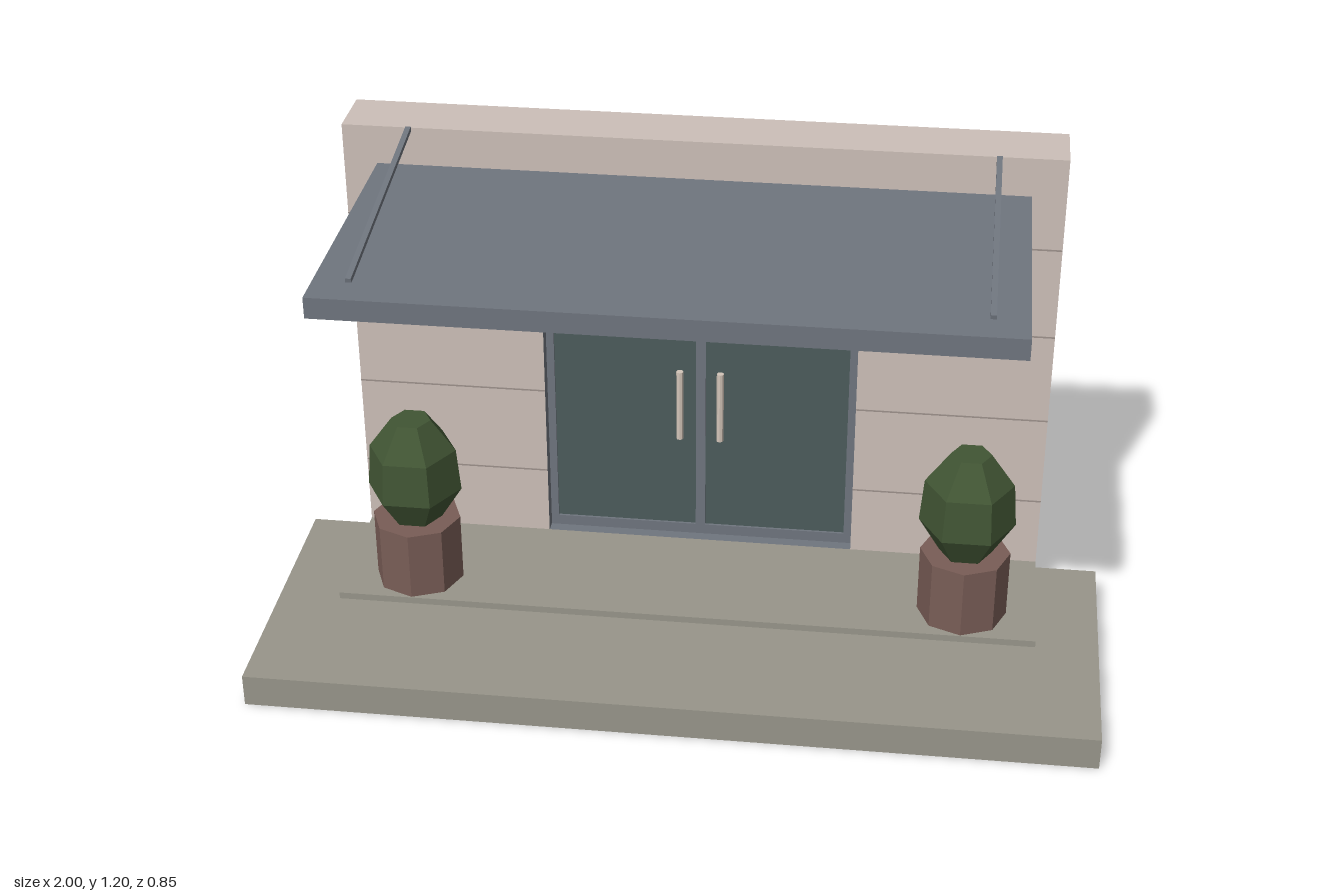
import * as THREE from 'three';

const mat = (name, color) => new THREE.MeshStandardMaterial({ name, color, side: THREE.DoubleSide, flatShading: true });

export function createModel() {
  const wallMat = mat('wall plaster', 0xccbfb8);
  const jointMat = mat('wall joint', 0x9d928c);
  const stone = mat('stone', 0x98958a);
  const metal = mat('grey metal', 0x6f757e);
  const glass = mat('dark glass', 0x4c5c5c);
  const cream = mat('pale fittings', 0xd2c4b8);
  const clay = mat('clay', 0x795d56);
  const leaf = mat('leaf', 0x415534);

  const model = new THREE.Group();
  const add = (name, geometry, material, parent = model) => {
    const mesh = new THREE.Mesh(geometry, material);
    mesh.name = name;
    parent.add(mesh);
    return mesh;
  };

  // Box given by its limits; faces listed in omit (0..5 = +x -x +y -y +z -z) are left open
  const box = (name, [x0, x1], [y0, y1], [z0, z1], material, omit = [], parent = model) => {
    const g = new THREE.BoxGeometry(x1 - x0, y1 - y0, z1 - z0);
    g.translate((x0 + x1) / 2, (y0 + y1) / 2, (z0 + z1) / 2);
    if (omit.length) {
      g.setIndex([...g.index.array].filter((_, i) => !omit.includes(Math.floor(i / 6))));
      g.clearGroups();
    }
    return add(name, g, material, parent);
  };

  const front = -0.27;

  // Paving, open underneath and behind
  box('pavingSlab', [-1, 1], [0, 0.08], [front, 0.42], stone, [3, 5]);
  box('doorStep', [-0.85, 0.85], [0.08, 0.097], [front, 0.075], stone, [3, 5]);

  // Wall shell: sides and top, plus a front with the door opening
  box('wallSides', [-0.85, 0.85], [0.04, 1.195], [-0.42, front], wallMat, [3, 4, 5]);
  const rect = (P, x0, x1, y0, y1) => {
    const p = new P();
    p.moveTo(x0, y0).lineTo(x1, y0).lineTo(x1, y1).lineTo(x0, y1).closePath();
    return p;
  };
  const face = rect(THREE.Shape, -0.85, 0.85, 0.04, 1.195);
  face.holes.push(rect(THREE.Path, -0.385, 0.385, 0.095, 1.005));
  add('wallFront', new THREE.ShapeGeometry(face), wallMat).position.z = front;

  // Thin joints between the wall bands, stopping at the door
  for (const y of [0.275, 0.505, 0.735, 0.965])
    for (const s of [-1, 1]) {
      const xs = [0.385 * s, 0.85 * s].sort((a, b) => a - b);
      box('wallJoint', xs, [y - 0.002, y + 0.002], [front, front + 0.001], jointMat, [5]);
    }

  // Recessed door: reveal, backing, frame bars and panes
  const door = new THREE.Group();
  door.name = 'door';
  model.add(door);
  box('doorReveal', [-0.385, 0.385], [0.095, 1.005], [-0.335, front], metal, [4, 5], door);
  box('doorBacking', [-0.385, 0.385], [0.095, 1.005], [-0.337, -0.335], glass, [], door);
  const barZ = [-0.32, -0.3];
  for (const [x0, x1] of [[-0.384, -0.365], [-0.012, 0.012], [0.365, 0.384]])
    box('frameUpright', [x0, x1], [0.096, 1.004], barZ, metal, [], door);
  for (const [y0, y1] of [[0.096, 0.123], [0.835, 0.86], [0.982, 1.004]])
    for (const s of [-1, 1]) {
      const xs = [0.012 * s, 0.365 * s].sort((a, b) => a - b);
      box('frameRail', xs, [y0, y1], barZ, metal, [], door);
    }
  for (const s of [-1, 1]) {
    const xs = [0.012 * s, 0.365 * s].sort((a, b) => a - b);
    box('doorPane', xs, [0.123, 0.835], [-0.312, -0.306], glass, [], door);
    box('transomPane', xs, [0.86, 0.982], [-0.312, -0.306], glass, [], door);
    const handle = add('doorHandle', new THREE.CylinderGeometry(0.009, 0.009, 0.19, 8), cream, door);
    handle.position.set(0.05 * s, 0.48, -0.283);
    for (const y of [0.41, 0.55])
      box('handleMount', [0.05 * s - 0.005, 0.05 * s + 0.005], [y - 0.005, y + 0.005], [-0.306, -0.283], cream, [], door);
  }

  // Canopy slab
  box('canopy', [-0.77, 0.77], [1.05, 1.1], [front, 0.425], metal);

  for (const s of [-1, 1]) {
    // Canopy stay rod
    const a = new THREE.Vector3(0.69 * s, 1.192, front);
    const b = new THREE.Vector3(0.69 * s, 1.104, 0.345);
    const rod = add('stayRod', new THREE.BoxGeometry(0.013, 0.012, a.distanceTo(b)), metal);
    rod.position.copy(a).lerp(b, 0.5);
    rod.lookAt(b);

    // Wall lamp: back plate, cap and tapered shade
    const x = 0.54 * s;
    box('lampPlate', [x - 0.022, x + 0.022], [0.772, 0.84], [front, -0.255], metal);
    box('lampCap', [x - 0.033, x + 0.033], [0.838, 0.847], [front, -0.199], metal);
    const shade = box('lampShade', [x - 0.029, x + 0.029], [0.774, 0.838], [-0.255, -0.202], cream);
    const p = shade.geometry.attributes.position;
    for (let i = 0; i < p.count; i++)
      if (p.getY(i) < 0.8) p.setX(i, x + (p.getX(i) - x) * 0.83);

    // Potted shrub: octagonal pot and faceted six-sided crown
    const plant = new THREE.Group();
    plant.name = 'pottedShrub';
    plant.position.set(0.67 * s, 0, -0.036);
    model.add(plant);
    add('pot', new THREE.CylinderGeometry(0.108, 0.108, 0.173, 8), clay, plant).position.y = 0.1835;
    const crown = [[0, 0.27], [0.063, 0.27], [0.115, 0.352], [0.106, 0.46], [0.048, 0.54], [0, 0.54]];
    const shrub = new THREE.LatheGeometry(crown.map(([r, y]) => new THREE.Vector2(r, y)), 6);
    add('shrub', shrub, leaf, plant).rotation.y = Math.PI / 6;
  }
  return model;
}
